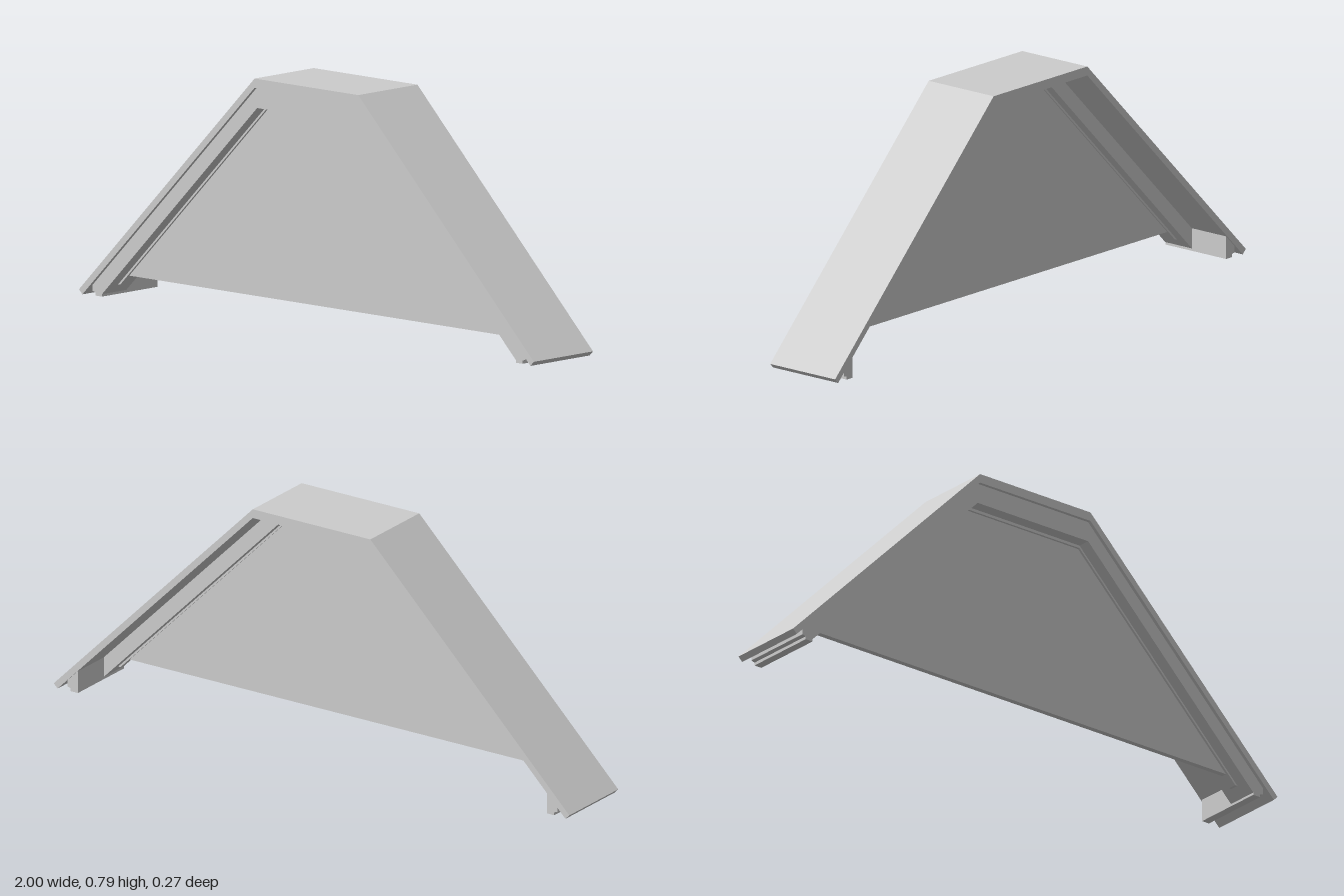
import * as THREE from 'three';

const CORNER = 0.228; // half width of the flat top; all layers bend at this x

function extrude(name, points, z0, z1) {
  const shape = new THREE.Shape(points.map(([x, y]) => new THREE.Vector2(x, y)));
  const geometry = new THREE.ExtrudeGeometry(shape, { depth: z1 - z0, bevelEnabled: false });
  geometry.translate(0, 0, z0);
  const material = new THREE.MeshStandardMaterial({ color: 0xcccccc, flatShading: true });
  const mesh = new THREE.Mesh(geometry, material);
  mesh.name = name;
  return mesh;
}

// Outline of a bent strip between two heights; the legs fall at 45 degrees
function strip(topOuter, topInner, outerEnd, innerEnd) {
  const right = [
    [CORNER, topOuter],
    [outerEnd, topOuter + CORNER - outerEnd],
    [innerEnd, topInner + CORNER - innerEnd],
    [CORNER, topInner],
  ];
  const left = right.map(([x, y]) => [-x, y]).reverse();
  return [...right, ...left];
}

export function createModel() {
  const model = new THREE.Group();
  model.name = 'roofSection';

  // Outer roof skin, full depth
  model.add(extrude('roofSkin', strip(0.787, 0.757, 1, 0.985), -0.137, 0.137));

  // Rafter frame under the front half of the skin
  model.add(extrude('rafterFrame', strip(0.757, 0.69, 0.91, 0.91), 0.013, 0.125));

  // Thin lip around the gable wall
  model.add(extrude('wallLip', strip(0.69, 0.681, 0.88, 0.871), 0.05, 0.082));

  // Recessed gable wall
  const base = 0.07;
  const halfBase = 0.69 + CORNER - base;
  model.add(extrude('gableWall', [
    [-halfBase, base], [halfBase, base], [CORNER, 0.69], [-CORNER, 0.69],
  ], 0.055, 0.074));

  // Eaves beams with a stepped underside
  const beam = [[0.91, 0], [0.938, 0], [0.938, 0.01], [0.951, 0.014], [0.951, 0.034], [0.91, 0.075]];
  for (const [side, name] of [[1, 'leftEavesBeam'], [-1, 'rightEavesBeam']]) {
    model.add(extrude(name, beam.map(([x, y]) => [side * x, y]), -0.132, 0.125));
  }

  return model;
}
